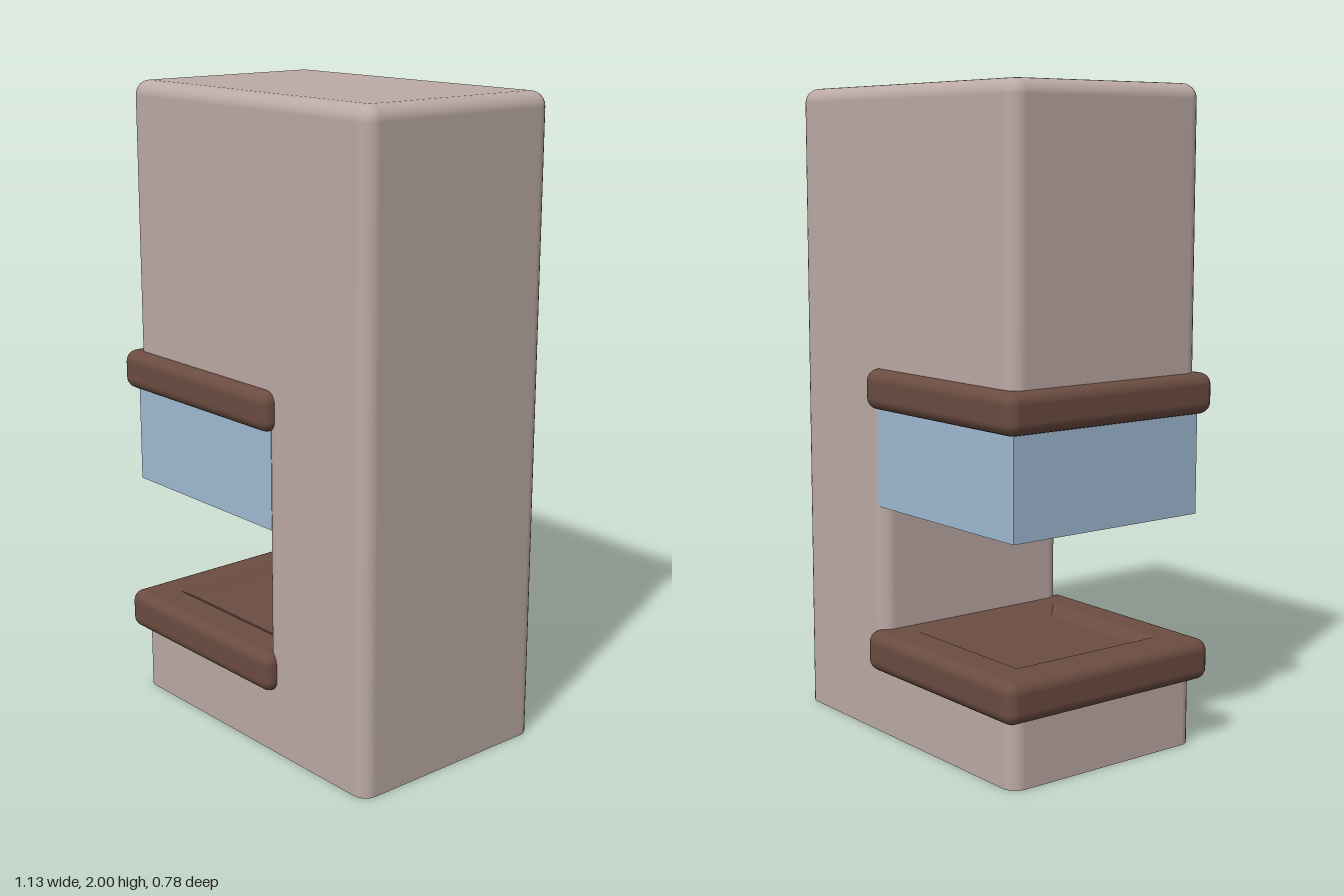
import * as THREE from 'three';

const bodyMat = new THREE.MeshStandardMaterial({ color: 0xbcaaa4 });
const trimMat = new THREE.MeshStandardMaterial({ color: 0x6b4c41 });
const glassMat = new THREE.MeshStandardMaterial({ color: 0xa0bbd3 });
bodyMat.name = 'warm beige';
trimMat.name = 'dark brown';
glassMat.name = 'pale blue';

const STEPS = 6;

// Stack of rounded rectangles; each ring is [inset, y, outward normal, upward normal].
function loft(hx, hz, r, rings) {
  const pos = [], nor = [], idx = [];
  const n = 4 * (STEPS + 1);
  for (const [inset, y, nh, ny] of rings) {
    const rr = Math.max(r - inset, 0);
    for (let q = 0; q < 4; q++) {
      const sx = q === 0 || q === 3 ? 1 : -1, sz = q < 2 ? 1 : -1;
      for (let s = 0; s <= STEPS; s++) {
        const a = (q + s / STEPS) * Math.PI / 2;
        const c = Math.cos(a), d = Math.sin(a);
        pos.push(sx * (hx - inset - rr) + rr * c, y, sz * (hz - inset - rr) + rr * d);
        nor.push(c * nh, ny, d * nh);
      }
    }
  }
  for (let k = 0; k < rings.length - 1; k++) {
    for (let i = 0; i < n; i++) {
      const a = k * n + i, b = k * n + (i + 1) % n;
      idx.push(a, a + n, b, b, a + n, b + n);
    }
  }
  const g = new THREE.BufferGeometry();
  g.setAttribute('position', new THREE.Float32BufferAttribute(pos, 3));
  g.setAttribute('normal', new THREE.Float32BufferAttribute(nor, 3));
  g.setIndex(idx);
  return g;
}

// Quarter-round edge, running from angle a0 to a1 around (inset r, height yc)
function roundEdge(r, yc, a0, a1) {
  return Array.from({ length: STEPS + 1 }, (_, i) => {
    const a = a0 + (a1 - a0) * i / STEPS;
    return [r - r * Math.cos(a), yc + r * Math.sin(a), Math.cos(a), Math.sin(a)];
  });
}

const Q = Math.PI / 2;
const DEPTH = 0.352;

function add(group, name, geometry, material, x, y = 0, z = 0) {
  const mesh = new THREE.Mesh(geometry, material);
  mesh.name = name;
  mesh.position.set(x, y, z);
  group.add(mesh);
}

// Block with rounded upright edges, optionally a rounded top
function block(x0, x1, y0, y1, roundTop) {
  const r = 0.045;
  const top = roundTop ? roundEdge(r, y1 - r, 0, Q) : [[0, y1, 1, 0], [0, y1, 0, 1]];
  return loft((x1 - x0) / 2, DEPTH, r, [
    [DEPTH, y0, 0, -1], [0, y0, 0, -1], [0, y0, 1, 0],
    ...top, [DEPTH, y1, 0, 1],
  ]);
}

// Soft-edged slab, optionally with a shallow sloped basin in the top
function slab(y0, y1, basin) {
  const r = 0.036, hz = 0.39;
  const rings = [
    [hz, y0, 0, -1],
    ...roundEdge(r, y0 + r, -Q, 0),
    ...roundEdge(r, y1 - r, 0, Q),
  ];
  if (basin) {
    const low = y1 - 0.022;
    rings.push([0.12, y1, 0, 1], [0.12, y1, -0.5, 0.87], [0.16, low, -0.5, 0.87], [0.16, low, 0, 1], [hz - 0.025, low, 0, 1]);
  } else {
    rings.push([hz - 0.025, y1, 0, 1]);
  }
  // close to the centre line, limited by the narrower half width
  const hx = 0.365;
  rings[0][0] = hx;
  rings[rings.length - 1][0] = hx;
  return loft(hx, hz, r, rings);
}

export function createModel() {
  const root = new THREE.Group();
  root.name = 'dispenser';

  // C-shaped body: base, side column and tall head
  const L = -0.53, R = 0.565, inner = 0.117;
  add(root, 'base', block(L, R, 0, 0.265, false), bodyMat, (L + R) / 2);
  add(root, 'column', block(inner, R, 0.265, 1.09, false), bodyMat, (inner + R) / 2);
  add(root, 'head', block(L, R, 1.09, 2, true), bodyMat, (L + R) / 2);

  // Brown trays above and below the opening
  add(root, 'dripTray', slab(0.203, 0.33, true), trimMat, -0.2);
  add(root, 'upperRim', slab(1.026, 1.15, false), trimMat, -0.2);

  // Glass skirt on three sides, open at the bottom
  const t = 0.012, gy0 = 0.72, gy1 = 1.05, gx1 = 0.145;
  const h = gy1 - gy0, cy = (gy0 + gy1) / 2;
  for (const s of [1, -1]) {
    add(root, s > 0 ? 'frontGlass' : 'backGlass', new THREE.BoxGeometry(gx1 - L, h, t),
      glassMat, (L + gx1) / 2, cy, s * (DEPTH - 0.002 - t / 2));
  }
  add(root, 'sideGlass', new THREE.BoxGeometry(t, h, 2 * (DEPTH - 0.002 - t)), glassMat, L + t / 2, cy);

  return root;
}
